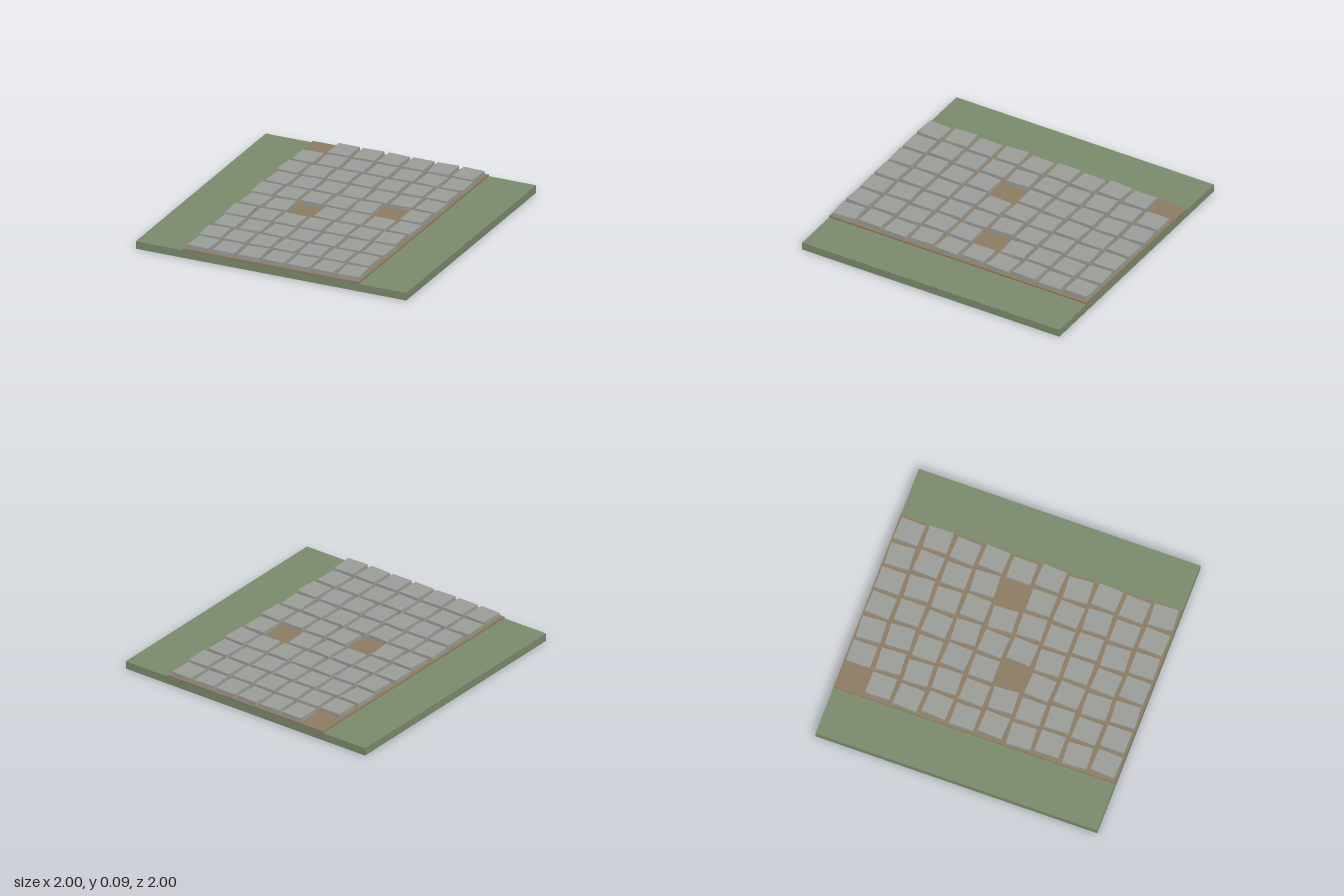
import * as THREE from 'three';

const flat = (name, color) => {
  const m = new THREE.MeshStandardMaterial({ color });
  m.name = name;
  return m;
};

export function createModel() {
  const group = new THREE.Group();
  group.name = 'cobbledPath';
  const grass = flat('grass', 0x7a8a6a);
  const dirt = flat('dirt', 0x8c7b62);
  const stone = flat('stone', 0x9a9c98);

  const addBox = (name, material, w, h, d, x, bottom, z) => {
    const mesh = new THREE.Mesh(new THREE.BoxGeometry(w, h, d), material);
    mesh.name = name;
    mesh.position.set(x, bottom + h / 2, z);
    group.add(mesh);
    return mesh;
  };

  // Ground slab and the raised dirt bed of the path
  addBox('ground', grass, 2, 0.055, 2, 0, 0, 0);
  addBox('pathBed', dirt, 1.3, 0.012, 2, 0, 0.055, 0);

  // Turn of each paving stone in degrees, back row first; null is a missing stone
  const turns = [
    [null, 0, 3, -3, 0, 3, -2],
    [0, 3, 3, 0, 3, -3, 1],
    [-3, 3, 0, -3, 2, 0, -3],
    [-3, 2, -3, 3, -2, 3, -3],
    [0, -2, 0, -3, 3, null, 0],
    [-3, 3, null, -3, 2, 0, -3],
    [3, 0, -3, 2, 0, -3, 3],
    [0, 2, -3, 0, 0, 3, -2],
    [3, -2, 2, -3, 3, 0, -2],
    [-3, 0, 3, -2, 1, -3, 3],
  ];
  turns.forEach((row, r) => row.forEach((turn, c) => {
    if (turn === null) return;
    const x = (c - 3) * 0.184 + (r % 2 ? 0.007 : -0.007);
    const paver = addBox('pavingStone', stone, 0.155, 0.03, 0.17, x, 0.065, -0.9 + r * 0.2);
    paver.rotation.y = THREE.MathUtils.degToRad(turn);
  }));

  return group;
}
